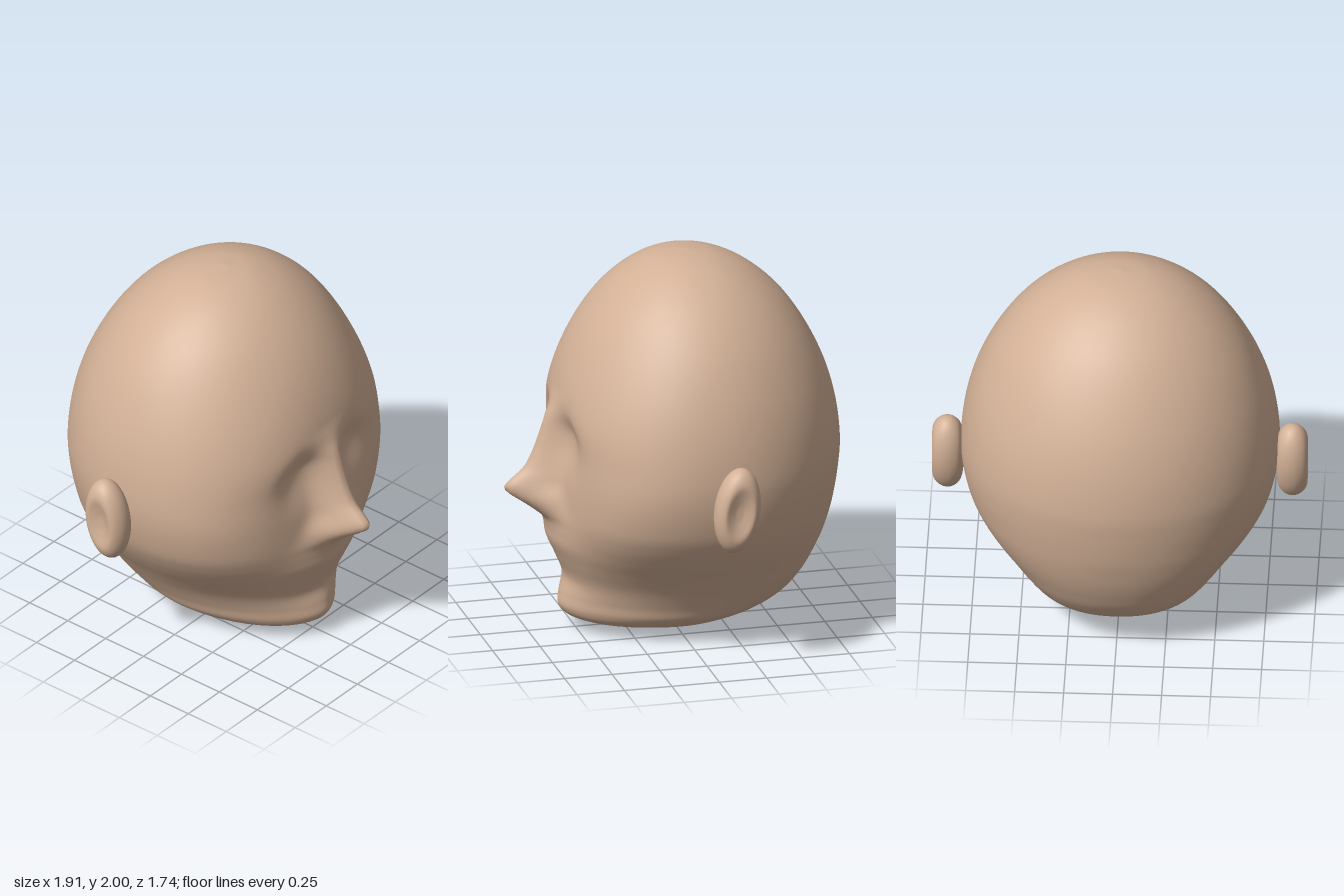
import * as THREE from 'three';
import { mergeVertices } from 'three/addons/utils/BufferGeometryUtils.js';

const skin = new THREE.MeshStandardMaterial({ color: 0xd2b096 });
skin.name = 'skin';

// Smooth lookup in a table of rows [key, ...values]
function sample(table, key) {
  const last = table.length - 1;
  let i = 0;
  while (i < last - 1 && key > table[i + 1][0]) i++;
  const a = table[i], b = table[i + 1];
  const p = table[Math.max(i - 1, 0)], n = table[Math.min(i + 2, last)];
  const d = b[0] - a[0];
  const t = Math.min(Math.max((key - a[0]) / d, 0), 1);
  const t2 = t * t, t3 = t2 * t;
  return a.slice(1).map((av, k) => {
    const bv = b[k + 1];
    const ma = (bv - p[k + 1]) / (b[0] - p[0]) * d;
    const mb = (n[k + 1] - av) / (n[0] - a[0]) * d;
    return (2 * t3 - 3 * t2 + 1) * av + (t3 - 2 * t2 + t) * ma
      + (3 * t2 - 2 * t3) * bv + (t3 - t2) * mb;
  });
}

// Skull sections: height, half width, front z, back z, z of the widest point,
// front squareness, back squareness
const sections = [
  [0, 0, 0.11, 0.11, 0.11, 2, 2],
  [0.005, 0.07, 0.20, 0.03, 0.10, 1.95, 2],
  [0.02, 0.16, 0.33, -0.06, 0.08, 1.9, 2],
  [0.048, 0.26, 0.46, -0.18, 0.05, 1.85, 2.05],
  [0.08, 0.35, 0.54, -0.32, 0.01, 1.8, 2.1],
  [0.13, 0.418, 0.57, -0.475, -0.04, 1.75, 2.15],
  [0.20, 0.46, 0.578, -0.595, -0.08, 1.75, 2.2],
  [0.30, 0.523, 0.586, -0.68, -0.10, 1.8, 2.2],
  [0.40, 0.592, 0.60, -0.735, -0.10, 1.95, 2.15],
  [0.50, 0.665, 0.61, -0.778, -0.10, 2.15, 2.1],
  [0.60, 0.728, 0.615, -0.81, -0.10, 2.35, 2.05],
  [0.70, 0.772, 0.614, -0.835, -0.10, 2.5, 2],
  [0.85, 0.805, 0.612, -0.857, -0.10, 2.55, 2],
  [1.00, 0.812, 0.612, -0.865, -0.10, 2.45, 2],
  [1.20, 0.787, 0.617, -0.84, -0.10, 2.25, 2],
  [1.40, 0.73, 0.575, -0.78, -0.10, 2.1, 2],
  [1.60, 0.635, 0.49, -0.68, -0.10, 2, 2],
  [1.77, 0.505, 0.37, -0.555, -0.09, 2, 2],
  [1.90, 0.345, 0.225, -0.40, -0.085, 2, 2],
  [1.975, 0.175, 0.075, -0.24, -0.08, 2, 2],
  [2, 0, -0.08, -0.08, -0.08, 2, 2],
].map((row, i) => [i, ...row]);

// Chin, lips and nose along the middle: height, projection, spread
const profileRows = [
  [0.06, 0, 0.15], [0.13, 0.018, 0.15], [0.20, 0.004, 0.15], [0.29, -0.022, 0.15],
  [0.40, 0.002, 0.16], [0.50, 0.036, 0.16], [0.57, 0.043, 0.14], [0.62, 0.06, 0.12],
  [0.66, 0.105, 0.105], [0.70, 0.16, 0.09], [0.75, 0.233, 0.073], [0.79, 0.262, 0.063],
  [0.83, 0.23, 0.06], [0.88, 0.17, 0.062], [0.95, 0.13, 0.06], [1.05, 0.092, 0.058],
  [1.15, 0.052, 0.06], [1.22, 0.018, 0.07], [1.30, 0, 0.08],
];

const bell = (d, s) => Math.exp(-0.5 * (d / s) ** 2);

// Forward offset that sculpts the face
function faceRelief(x, y) {
  const ax = Math.abs(x);
  let z = 0;
  if (y > 0.06 && y < 1.3) {
    const [height, spread] = sample(profileRows, y);
    z += height * bell(x, spread);
  }
  z += 0.02 * bell(ax - 0.11, 0.045) * bell(y - 0.74, 0.05);            // nostril wings
  const lid = y - (1.10 - 0.3 * Math.max(ax - 0.2, 0));
  z -= 0.052 * bell(ax - 0.19, 0.1) * bell(lid, lid > 0 ? 0.065 : 0.12); // eye sockets
  return z;
}

function headGeometry() {
  const around = 192, steps = 8;
  const rings = (sections.length - 1) * steps;
  const positions = [], index = [];
  for (let i = 0; i <= rings; i++) {
    const [y, w, front, back, mid, frontPower, backPower] = sample(sections, i / steps);
    for (let j = 0; j < around; j++) {
      const t = j / around * Math.PI * 2;
      const s = Math.sin(t), c = Math.cos(t);
      const n = c > 0 ? frontPower : backPower;
      const r = (Math.abs(s) ** n + Math.abs(c) ** n) ** (-1 / n);
      const x = w * r * s;
      let z = mid + (c > 0 ? front - mid : mid - back) * r * c;
      if (c > 0) z += faceRelief(x, y) * Math.min(1, c * 2.5);
      positions.push(x, y, z);
      if (i < rings) {
        const k = (j + 1) % around;
        const a = i * around + j, b = i * around + k;
        index.push(a, b, b + around, a, b + around, a + around);
      }
    }
  }
  const geometry = new THREE.BufferGeometry();
  geometry.setAttribute('position', new THREE.Float32BufferAttribute(positions, 3));
  geometry.setIndex(index);
  const merged = mergeVertices(geometry, 1e-5);
  merged.computeVertexNormals();
  return merged;
}

// Oval ear with a rounded rim and a shallow dished outer face
function earGeometry(side) {
  const profile = new THREE.SplineCurve([
    [0, -0.085], [0.08, -0.082], [0.14, -0.077], [0.19, -0.06], [0.219, -0.03], [0.227, 0],
    [0.219, 0.03], [0.19, 0.06], [0.145, 0.076], [0.09, 0.067], [0.04, 0.058], [0, 0.057],
  ].map(([r, h]) => new THREE.Vector2(r, h))).getPoints(44);
  return new THREE.LatheGeometry(profile, 48)
    .rotateZ(-side * Math.PI / 2)
    .scale(1, 1, 0.52)
    .rotateX(-0.13);
}

export function createModel() {
  const model = new THREE.Group();
  model.name = 'headModel';

  const head = new THREE.Mesh(headGeometry(), skin);
  head.name = 'head';
  model.add(head);

  for (const side of [1, -1]) {
    const ear = new THREE.Mesh(earGeometry(side), skin);
    ear.name = side > 0 ? 'leftEar' : 'rightEar';
    ear.position.set(side * 0.881, 0.878, -0.125);
    model.add(ear);
  }
  return model;
}
